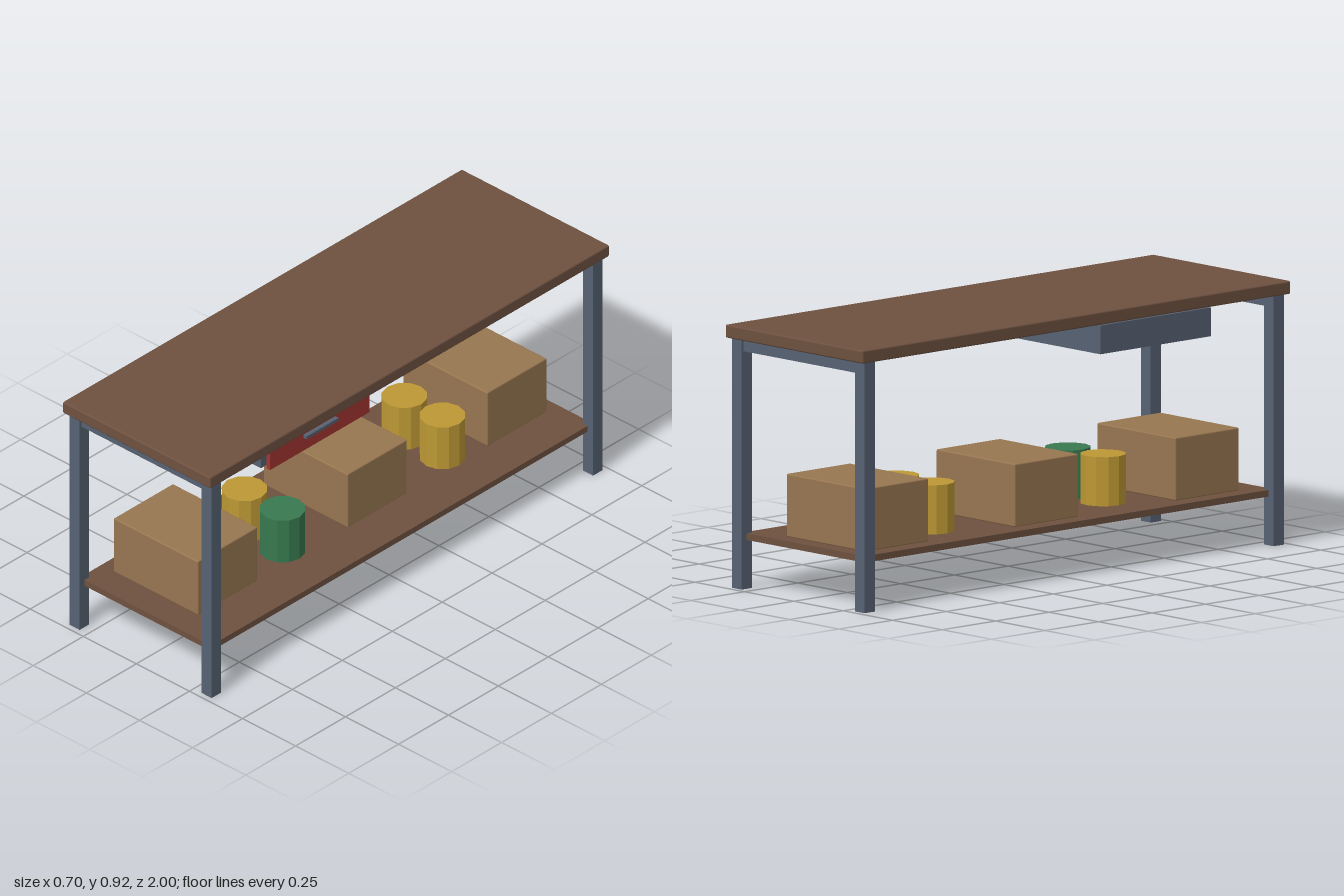
import * as THREE from 'three';
import { RoundedBoxGeometry } from 'three/addons/geometries/RoundedBoxGeometry.js';

const colour = (name, hex, extra = {}) => {
  const m = new THREE.MeshStandardMaterial({ color: hex, ...extra });
  m.name = name;
  return m;
};

export function createModel() {
  const group = new THREE.Group();
  group.name = 'workbench';

  const wood = colour('brown wood', 0x6e5140);
  const steel = colour('blue grey steel', 0x566272);
  const card = colour('cardboard', 0x987651);
  const red = colour('red', 0xa33631);
  const green = colour('green', 0x38794f, { flatShading: true });
  const yellow = colour('yellow', 0xbd9834, { flatShading: true });

  const add = (name, geometry, material, x, y, z) => {
    const mesh = new THREE.Mesh(geometry, material);
    mesh.name = name;
    mesh.position.set(x, y, z);
    group.add(mesh);
  };
  // Box given by its low and high limits on each axis, optionally with softened edges
  const box = (name, material, [x0, x1], [y0, y1], [z0, z1], bevel = 0) => {
    const size = [x1 - x0, y1 - y0, z1 - z0];
    const geometry = bevel
      ? new RoundedBoxGeometry(...size, 2, bevel)
      : new THREE.BoxGeometry(...size);
    add(name, geometry, material, (x0 + x1) / 2, (y0 + y1) / 2, (z0 + z1) / 2);
  };

  // Worktop and lower shelf
  box('worktop', wood, [-0.348, 0.348], [0.873, 0.919], [-1, 1], 0.006);
  box('lowerShelf', wood, [-0.31, 0.31], [0.17, 0.193], [-0.955, 0.955]);

  // Four legs, with a rail joining each end pair
  for (const end of [-1, 1]) {
    for (const side of [-1, 1]) {
      add('leg', new THREE.BoxGeometry(0.048, 0.873, 0.048), steel, side * 0.311, 0.4365, end * 0.955);
    }
    add('endRail', new THREE.BoxGeometry(0.576, 0.04, 0.03), steel, 0, 0.85, end * 0.955);
  }

  // Drawer hung under the worktop, opening to the left side
  box('drawerBody', steel, [-0.31, 0.269], [0.762, 0.862], [0.145, 0.662]);
  box('drawerFront', red, [0.287, 0.302], [0.764, 0.862], [0.154, 0.652]);
  box('drawerHandle', steel, [0.302, 0.318], [0.818, 0.83], [0.325, 0.485]);

  // Cardboard boxes on the shelf
  for (const z of [0.7, -0.05, -0.75]) {
    box('storageBox', card, [-0.25, 0.148], [0.193, 0.413], [z - 0.149, z + 0.149], 0.005);
  }

  // Tins standing in pairs between the boxes
  const tins = [
    [0.079, 0.352, green],
    [-0.1, 0.352, yellow],
    [0.079, -0.449, yellow],
    [-0.1, -0.449, yellow],
  ];
  for (const [x, z, material] of tins) {
    add('tin', new THREE.CylinderGeometry(0.08, 0.08, 0.171, 12), material, x, 0.2785, z);
  }

  return group;
}
